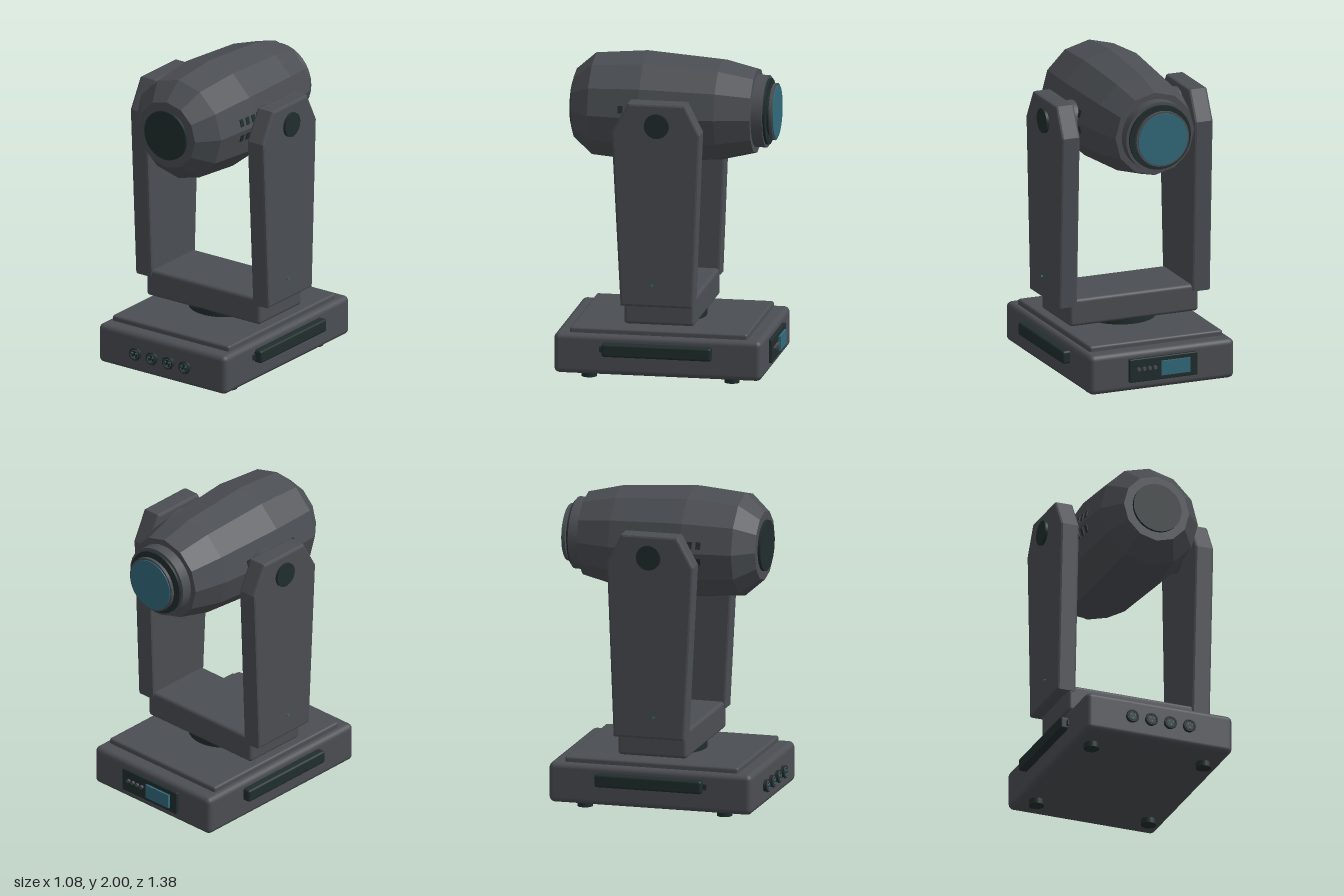
import * as THREE from 'three';
import { RoundedBoxGeometry } from 'three/addons/geometries/RoundedBoxGeometry.js';

export function createModel() {
  const model = new THREE.Group();
  const material = (name, color) => {
    const m = new THREE.MeshStandardMaterial({ color });
    m.name = name;
    return m;
  };
  const grey = material('bodyGrey', 0x4b4e53);
  const dark = material('darkRubber', 0x212d2d);
  const teal = material('tealGlass', 0x326a7b);

  const add = (name, geometry, mat, x = 0, y = 0, z = 0, parent = model) => {
    const mesh = new THREE.Mesh(geometry, mat);
    mesh.name = name;
    mesh.position.set(x, y, z);
    parent.add(mesh);
    return mesh;
  };
  const rounded = (w, h, d, r) => new RoundedBoxGeometry(w, h, d, 3, r);
  const cylinder = (r, length, sides = 32, r2 = r) => new THREE.CylinderGeometry(r, r2, length, sides);
  const alongX = (r, length) => cylinder(r, length).rotateZ(Math.PI / 2);
  const alongZ = (r, length, sides) => cylinder(r, length, sides).rotateX(Math.PI / 2);
  // Faceted or smooth turned form running along z, from [radius, z] pairs
  const turned = (pairs, sides, flat) => {
    let g = new THREE.LatheGeometry(pairs.map(([r, z]) => new THREE.Vector2(r, z)), sides);
    g.rotateX(Math.PI / 2);
    if (flat) {
      g = g.toNonIndexed();
      g.computeVertexNormals();
    }
    return g;
  };

  // Base with raised top plate, feet and turntable
  add('base', rounded(0.98, 0.255, 1.31, 0.035), grey, 0, 0.163, 0);
  add('baseTopPlate', rounded(0.9, 0.09, 1.12, 0.015), grey, 0, 0.28, 0);
  for (const x of [-0.375, 0.375]) for (const z of [-0.45, 0.45])
    add('foot', cylinder(0.048, 0.05, 20), dark, x, 0.025, z);
  add('turntable', cylinder(0.22, 0.05), dark, 0, 0.342, 0);

  // Side handles
  for (const s of [-1, 1]) {
    add('sideHandle', rounded(0.07, 0.083, 0.69, 0.015), dark, s * 0.505, 0.203, 0);
    add('handleTab', new THREE.BoxGeometry(0.02, 0.035, 0.03), dark, s * 0.488, 0.2, 0.352);
  }

  // Front sockets, each with three pins
  for (const x of [-0.19, -0.063, 0.063, 0.19]) {
    const socket = new THREE.Group();
    socket.name = 'socket';
    socket.position.set(x, 0.162, 0.655);
    model.add(socket);
    add('socketBody', alongZ(0.037, 0.04, 24), dark, 0, 0, 0.005, socket);
    add('socketRim', new THREE.TorusGeometry(0.036, 0.006, 8, 28), dark, 0, 0, 0.022, socket);
    add('socketRing', new THREE.TorusGeometry(0.027, 0.003, 6, 24), grey, 0, 0, 0.025, socket);
    for (let i = 0; i < 3; i++) {
      const a = Math.PI / 6 + i * Math.PI * 2 / 3;
      add('pin', alongZ(0.006, 0.008, 10), teal, 0.015 * Math.cos(a), 0.015 * Math.sin(a), 0.026, socket);
    }
  }

  // Rear control panel with screen and buttons
  add('controlPanel', rounded(0.46, 0.15, 0.03, 0.006), dark, 0, 0.17, -0.661);
  add('screen', new THREE.BoxGeometry(0.195, 0.092, 0.016), teal, -0.078, 0.17, -0.682);
  for (let i = 0; i < 4; i++)
    add('button', alongZ(0.012, 0.018, 14), grey, 0.06 + i * 0.037, 0.18, -0.681);

  // Yoke: cross bar and two tapered arms
  add('yokeBar', rounded(0.872, 0.175, 0.445, 0.022), grey, 0, 0.443, 0);
  const outline = [[-0.23, 0.487], [0.23, 0.487], [0.273, 1.595], [0.178, 1.782], [-0.182, 1.782], [-0.287, 1.595]];
  const armGeometry = new THREE.ExtrudeGeometry(
    new THREE.Shape(outline.map(([x, y]) => new THREE.Vector2(x, y))),
    { depth: 0.096, bevelThickness: 0.015, bevelSize: 0.015, bevelOffset: -0.015, bevelSegments: 2 }
  );
  armGeometry.translate(0, 0, -0.048).rotateY(Math.PI / 2);
  const headY = 1.645;
  for (const s of [-1, 1]) {
    add('yokeArm', armGeometry, grey, s * 0.45, 0, 0);
    add('pivotHub', alongX(0.107, 0.13), grey, s * 0.345, headY, 0);
    add('pivotCap', alongX(0.078, 0.03), dark, s * 0.515, headY, 0);
    add('indicator', alongX(0.008, 0.016), teal, s * 0.514, 0.625, 0.03);
  }

  // Head: faceted barrel, rear cap and stepped lens mount
  const head = new THREE.Group();
  head.name = 'head';
  head.position.y = headY;
  model.add(head);
  add('barrel', turned([[0, -0.538], [0.267, -0.538], [0.32, -0.32], [0.355, 0.15], [0.327, 0.476], [0.218, 0.6], [0, 0.6]], 12, true), grey, 0, 0, 0, head);
  add('barrelCap', alongZ(0.16, 0.03), dark, 0, 0, 0.602, head);
  add('lensCollar', alongZ(0.225, 0.08), grey, 0, 0, -0.568, head);
  add('lensStep', alongZ(0.207, 0.03), dark, 0, 0, -0.608, head);
  add('lensNeck', alongZ(0.15, 0.04), dark, 0, 0, -0.63, head);
  add('lensRing', alongZ(0.178, 0.02), grey, 0, 0, -0.651, head);
  add('lens', alongZ(0.166, 0.01), teal, 0, 0, -0.662, head);

  // Vent slots in two rows on both sides of the barrel
  const slotGeometry = new THREE.BoxGeometry(0.009, 0.046, 0.03);
  for (const s of [-1, 1]) for (const row of [-1, 1]) for (let i = 0; i < 8; i++) {
    const z = 0.265 - i * 0.054;
    const radius = z > 0.15 ? 0.355 - (z - 0.15) * 0.086 : 0.355 - (0.15 - z) * 0.0745;
    const slot = add('ventSlot', slotGeometry, dark, s * (radius - 0.0134), row * 0.05, z, head);
    slot.rotation.z = s * row * Math.PI / 12;
  }
  return model;
}
